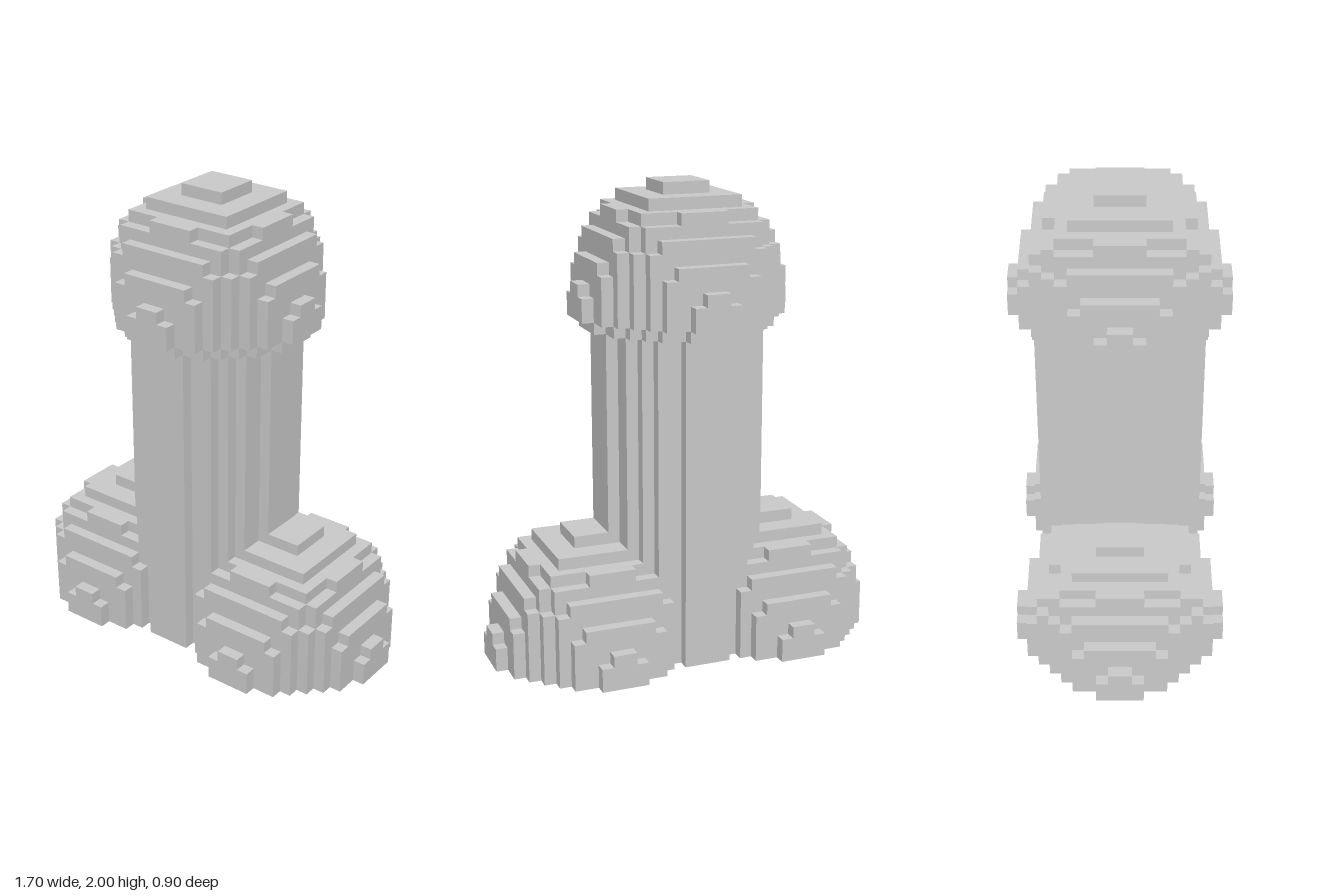
import * as THREE from 'three';
import { mergeGeometries } from 'three/addons/utils/BufferGeometryUtils.js';

const U = 0.05; // edge length of one block

// Stepped slab: rows[i] is the half width, in blocks, of row i out from the centre.
// The rows describe one quadrant, which is turned four times.
function slab(rows, bottom, height) {
  const quarter = [];
  rows.forEach((w, i) => {
    if (i === 0 || w !== rows[i - 1]) quarter.push([w, i]);
    if (w !== rows[i + 1]) quarter.push([w, i + 1]);
  });
  const outline = [];
  for (let q = 0; q < 4; q++) {
    const c = [1, 0, -1, 0][q], s = [0, 1, 0, -1][q];
    // the on-axis start point is collinear with its neighbours, so it is skipped
    quarter.slice(1).forEach(([x, y]) =>
      outline.push(new THREE.Vector2((c * x - s * y) * U, (s * x + c * y) * U)));
  }
  const geo = new THREE.ExtrudeGeometry(new THREE.Shape(outline), { depth: height * U, bevelEnabled: false });
  geo.rotateX(-Math.PI / 2);
  geo.translate(0, bottom * U, 0);
  return geo;
}

const square = n => Array(n).fill(n);

// Blocky dome, bottom to top: [rows, height in blocks]
const DOME = [
  [[9, 9, 8, 8, 7, 6, 5, 4, 2], 2],
  [[9, 8, 8, 8, 7, 6, 5, 4, 1], 1],
  [[8, 8, 8, 8, 7, 6, 5, 4], 1],
  [[8, 8, 8, 7, 7, 6, 5, 3], 1],
  [[7, 7, 7, 7, 7, 6, 5], 1],
  [[7, 7, 7, 7, 6, 5, 4], 1],
  [[6, 6, 6, 6, 6, 5], 1],
  [[6, 6, 5, 5, 5, 2], 1],
  [square(4), 1],
  [square(2), 1],
];
const RIM = [[8, 8, 7, 7, 6, 5, 4, 2], 1];

function stack(layers) {
  let y = 0;
  return mergeGeometries(layers.map(([rows, h]) => {
    const geo = slab(rows, y, h);
    y += h;
    return geo;
  }));
}

export function createModel() {
  const group = new THREE.Group();
  const material = new THREE.MeshStandardMaterial({ color: 0xcccccc, flatShading: true });
  const add = (name, geo, x, y) => {
    const mesh = new THREE.Mesh(geo, material);
    mesh.name = name;
    mesh.position.set(x, y, 0);
    group.add(mesh);
  };

  // Two domes on the ground, either side of the column
  const dome = stack(DOME);
  add('leftBaseDome', dome, 0.4, 0);
  add('rightBaseDome', dome, -0.4, 0);

  // Upright round column with stepped sides
  add('column', slab([7, 7, 6, 6, 5, 4, 2], 0, 28), 0, 0);

  // Cap: the same dome on a narrower one-block rim
  add('capDome', stack([RIM, ...DOME]), 0, 1.4);

  return group;
}
